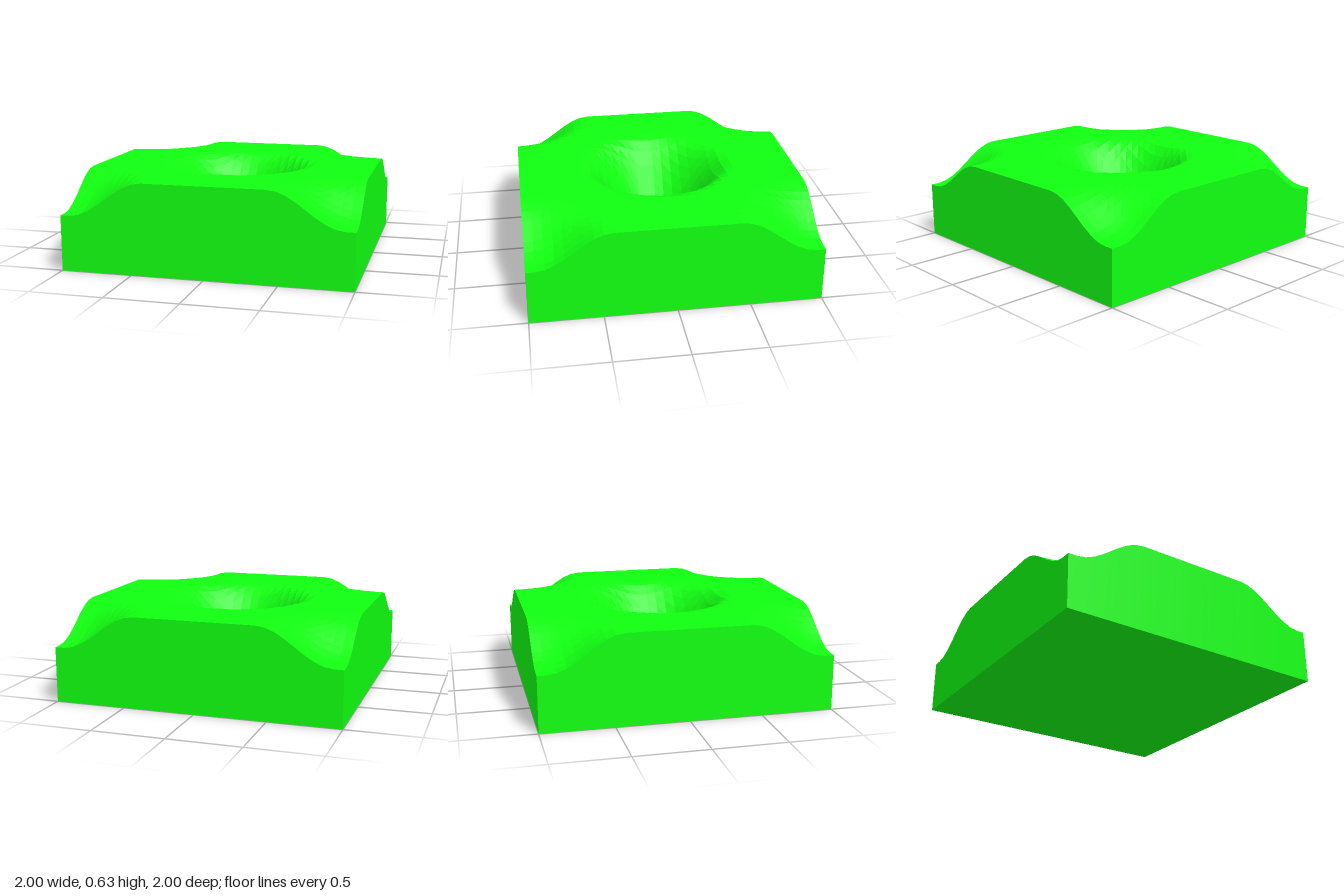
import * as THREE from 'three';

const TOP = 0.63;
const CELLS = 31;

// Round pits: one deep in the middle, a shallow one at each corner
const pits = [{ x: 0, z: 0, depth: 0.55, floor: 0.05, radius: 0.55 }];
for (const x of [-1, 1])
  for (const z of [-1, 1]) pits.push({ x, z, depth: 0.245, floor: 0.06, radius: 0.58 });

// Height of the ground, with an S-shaped slope from each rim to its floor
function heightAt(x, z) {
  let y = TOP;
  for (const p of pits) {
    const r = Math.hypot(x - p.x, z - p.z);
    const t = THREE.MathUtils.clamp((r - p.floor) / (p.radius - p.floor), 0, 1);
    y -= p.depth * 0.5 * (1 + Math.cos(Math.PI * t));
  }
  return y;
}

export function createModel() {
  const group = new THREE.Group();
  group.name = 'terrainTile';

  // Solid block whose upper vertices follow the ground height
  const geometry = new THREE.BoxGeometry(2, TOP, 2, CELLS, 1, CELLS);
  geometry.translate(0, TOP / 2, 0);
  const pos = geometry.attributes.position;
  for (let i = 0; i < pos.count; i++) {
    if (pos.getY(i) > TOP / 2) pos.setY(i, heightAt(pos.getX(i), pos.getZ(i)));
  }
  geometry.computeVertexNormals();

  const material = new THREE.MeshStandardMaterial({ color: 0x11ff11, flatShading: true });
  const ground = new THREE.Mesh(geometry, material);
  ground.name = 'pittedGround';
  group.add(ground);
  return group;
}
